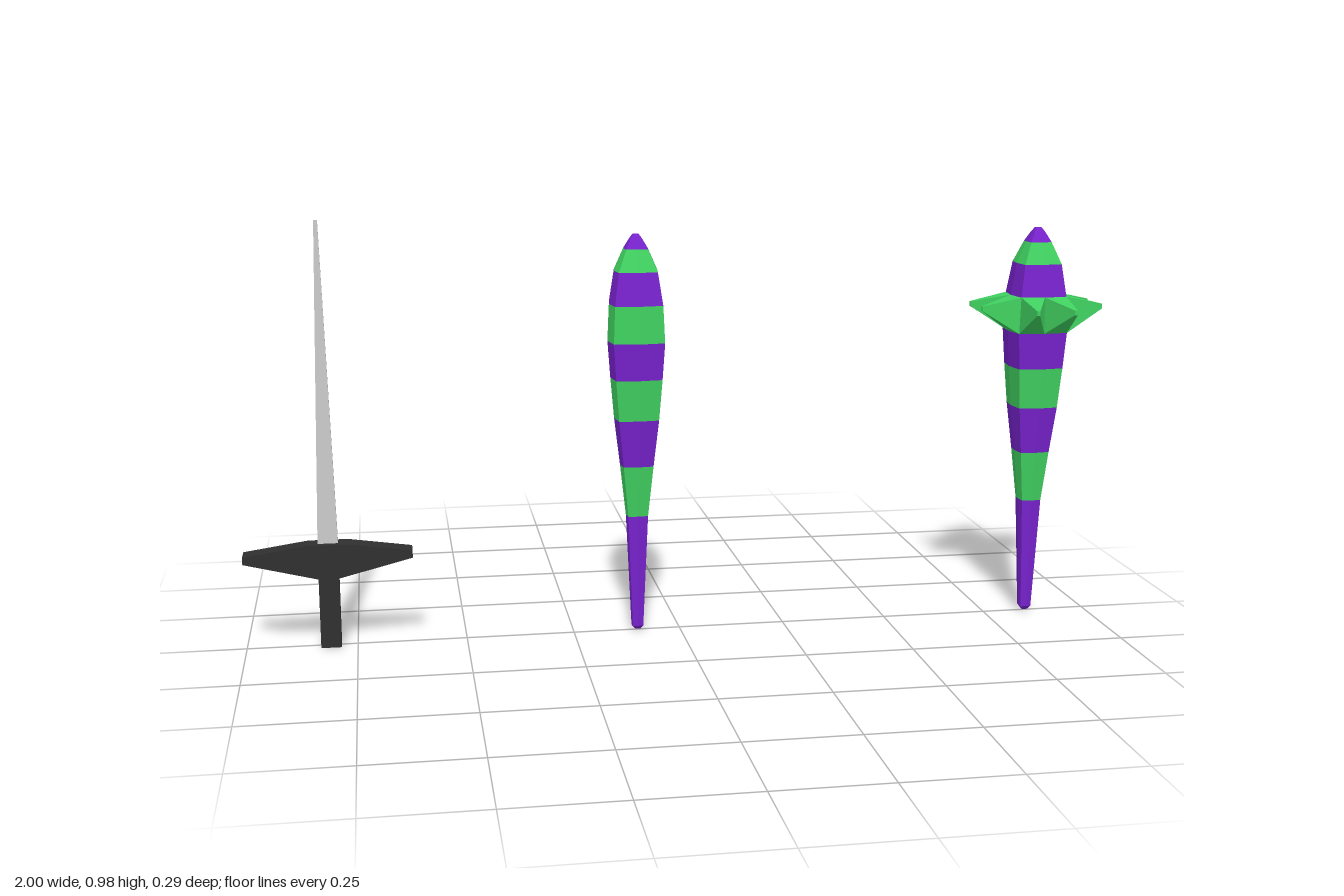
import * as THREE from 'three';

const PURPLE = 0x7722cc, GREEN = 0x40d060, DARK = 0x303030;
const mat = (color) => new THREE.MeshStandardMaterial({ color, flatShading: true });

function add(parent, name, geometry, material, x = 0, y = 0, z = 0) {
  const mesh = new THREE.Mesh(geometry, material);
  mesh.name = name;
  mesh.position.set(x, y, z);
  parent.add(mesh);
  return mesh;
}

// Height and half-width of each ring of a club
const PROFILE = [
  [0.003, 0.007], [0.012, 0.014], [0.28, 0.026], [0.4, 0.039], [0.51, 0.052], [0.605, 0.06],
  [0.69, 0.066], [0.775, 0.062], [0.85, 0.05], [0.9, 0.028], [0.922, 0.015], [0.933, 0.007],
];
const GREEN_BANDS = [2, 4, 6, 8];
const SPIKE_BAND = 6;

// Bulged square cross-section of eight points: side middles and corners
function ring([y, r]) {
  return Array.from({ length: 8 }, (_, k) => {
    const a = (k * Math.PI) / 4, d = k % 2 ? r * 1.25 : r;
    return new THREE.Vector3(Math.cos(a) * d, y, Math.sin(a) * d);
  });
}

function trianglesToGeometry(points) {
  const geometry = new THREE.BufferGeometry().setFromPoints(points);
  geometry.computeVertexNormals();
  return geometry;
}

const quad = (out, a0, a1, b1, b0) => out.push(a0, a1, b1, a0, b1, b0);

// One blunt spike grown from a panel of the band
function spike(out, a0, a1, b1, b0) {
  const base = [a0, a1, b1, b0];
  const mid = a0.clone().add(b0).add(a1).add(b1).multiplyScalar(0.25);
  const alongX = Math.abs(mid.x) > Math.abs(mid.z);
  const tip = new THREE.Vector3(
    Math.sign(mid.x) * (alongX ? 0.146 : 0.045), 0.75,
    Math.sign(mid.z) * (alongX ? 0.045 : 0.146));
  const end = base.map((p) => {
    const q = p.clone().sub(mid).multiplyScalar(0.13).add(tip);
    if (alongX) q.x = tip.x; else q.z = tip.z;
    return q;
  });
  for (let i = 0; i < 4; i++) {
    const j = (i + 1) % 4;
    quad(out, base[i], base[j], end[j], end[i]);
  }
  quad(out, ...end);
}

function createClub(name, spiked) {
  const club = new THREE.Group();
  club.name = name;
  const purple = [], green = [], spikes = [];
  const rings = PROFILE.map(ring);
  for (let i = 0; i < rings.length - 1; i++) {
    const isSpiked = spiked && i === SPIKE_BAND;
    const out = isSpiked ? spikes : GREEN_BANDS.includes(i) ? green : purple;
    for (let k = 0; k < 8; k++) {
      const j = (k + 1) % 8;
      const corners = [rings[i][k], rings[i + 1][k], rings[i + 1][j], rings[i][j]];
      if (isSpiked) spike(out, ...corners);
      else quad(out, ...corners);
    }
  }
  // End caps
  const low = rings[0], high = rings[rings.length - 1];
  for (let k = 1; k < 7; k++) {
    purple.push(low[0], low[k], low[k + 1], high[0], high[k + 1], high[k]);
  }
  add(club, 'purpleBands', trianglesToGeometry(purple), mat(PURPLE));
  add(club, 'greenBands', trianglesToGeometry(green), mat(GREEN));
  if (spiked) add(club, 'spikes', trianglesToGeometry(spikes), mat(GREEN));
  return club;
}

function createSword() {
  const sword = new THREE.Group();
  sword.name = 'sword';
  const dark = mat(DARK);

  // Handle
  add(sword, 'handle', new THREE.BoxGeometry(0.046, 0.18, 0.046), dark, 0, 0.09);

  // Crossguard, thick in the middle and tapering to both ends
  const half = [[0.022, 0.163], [0.19, 0.205], [0.19, 0.222], [0.045, 0.243]];
  const outline = [...half, ...half.map(([x, y]) => [-x, y]).reverse()];
  const shape = new THREE.Shape(outline.map(([x, y]) => new THREE.Vector2(x, y)));
  const guard = new THREE.ExtrudeGeometry(shape, { depth: 0.048, bevelEnabled: false });
  add(sword, 'crossguard', guard, dark, 0, 0, -0.024);

  // Blade, narrowing to a small flat tip
  const blade = new THREE.BoxGeometry(0.046, 0.74, 0.02);
  const pos = blade.attributes.position;
  for (let i = 0; i < pos.count; i++) {
    if (pos.getY(i) > 0) {
      pos.setX(i, pos.getX(i) * 0.18);
      pos.setZ(i, pos.getZ(i) * 0.3);
    }
  }
  blade.computeVertexNormals();
  add(sword, 'blade', blade, mat(0xcccccc), 0, 0.605);
  return sword;
}

export function createModel() {
  const model = new THREE.Group();
  model.name = 'weaponSet';
  const sword = createSword();
  sword.position.x = -0.81;
  const plain = createClub('plainClub', false);
  plain.position.x = -0.1;
  const spiked = createClub('spikedClub', true);
  spiked.position.x = 0.853;
  model.add(sword, plain, spiked);
  return model;
}
